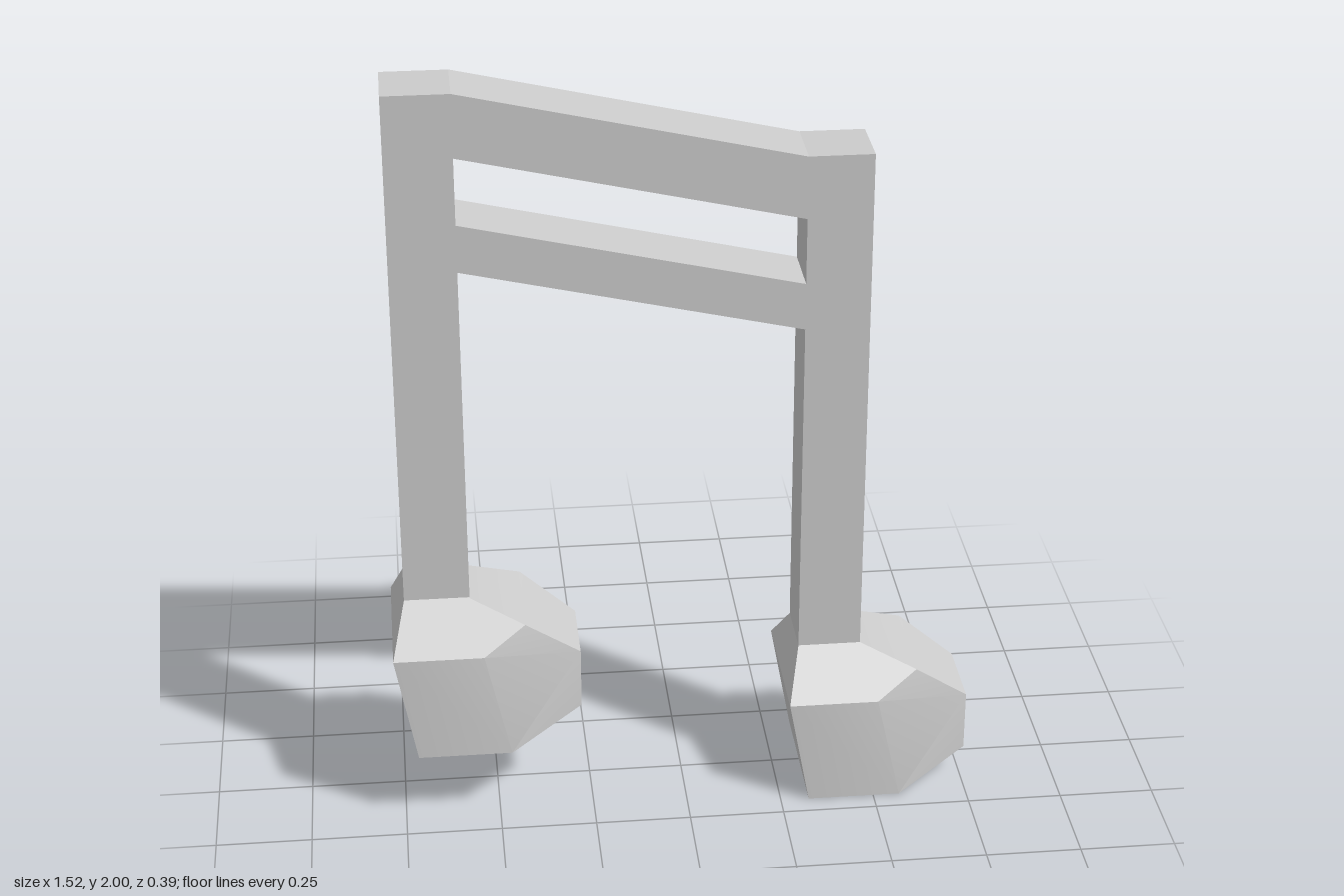
import * as THREE from 'three';
import { ConvexGeometry } from 'three/addons/geometries/ConvexGeometry.js';
import { toCreasedNormals } from 'three/addons/utils/BufferGeometryUtils.js';

const STEM_HALF = 0.085;
const points = (list) => list.map(([x, y]) => new THREE.Vector2(x, y));

// Two stems joined by a sloping double beam, cut from one slab with a slot
function frameGeometry() {
  const shape = new THREE.Shape(points([
    [-0.73, 0.615], [-0.56, 0.615], [-0.56, 1.535], [0.305, 1.34], [0.305, 0.415],
    [0.47, 0.415], [0.47, 1.805], [0.305, 1.805], [-0.56, 2], [-0.73, 2],
  ]));
  shape.holes.push(new THREE.Path(points([
    [-0.56, 1.66], [-0.56, 1.835], [0.305, 1.64], [0.305, 1.465],
  ])));
  const geometry = new THREE.ExtrudeGeometry(shape, { depth: 2 * STEM_HALF, bevelEnabled: false });
  return geometry.translate(0, 0, -STEM_HALF);
}

// Faceted note head: corners as x, y and half depth, mirrored in z
function headGeometry() {
  const corners = [
    [0.305, 0.415, STEM_HALF], [0.47, 0.415, STEM_HALF], // under the stem
    [0.615, 0.355, 0.14], [0.76, 0.245, 0.105], [0.76, 0.08, 0.105], // nose
    [0.27, 0.295, 0.195], [0.505, 0.295, 0.195], // shoulder
    [0.325, 0, 0.195], [0.57, 0, 0.195], // base
  ];
  const hull = corners.flatMap(([x, y, z]) => [new THREE.Vector3(x, y, z), new THREE.Vector3(x, y, -z)]);
  return toCreasedNormals(new ConvexGeometry(hull), 0.4);
}

export function createModel() {
  const group = new THREE.Group();
  group.name = 'beamedNotes';
  const material = new THREE.MeshStandardMaterial({ color: 0xcccccc });

  const add = (name, geometry, x = 0, y = 0) => {
    const mesh = new THREE.Mesh(geometry, material);
    mesh.name = name;
    mesh.position.set(x, y, 0);
    group.add(mesh);
  };

  add('stemsAndBeams', frameGeometry());
  const head = headGeometry();
  add('leftNoteHead', head);
  add('rightNoteHead', head, -1.035, 0.2);
  return group;
}
